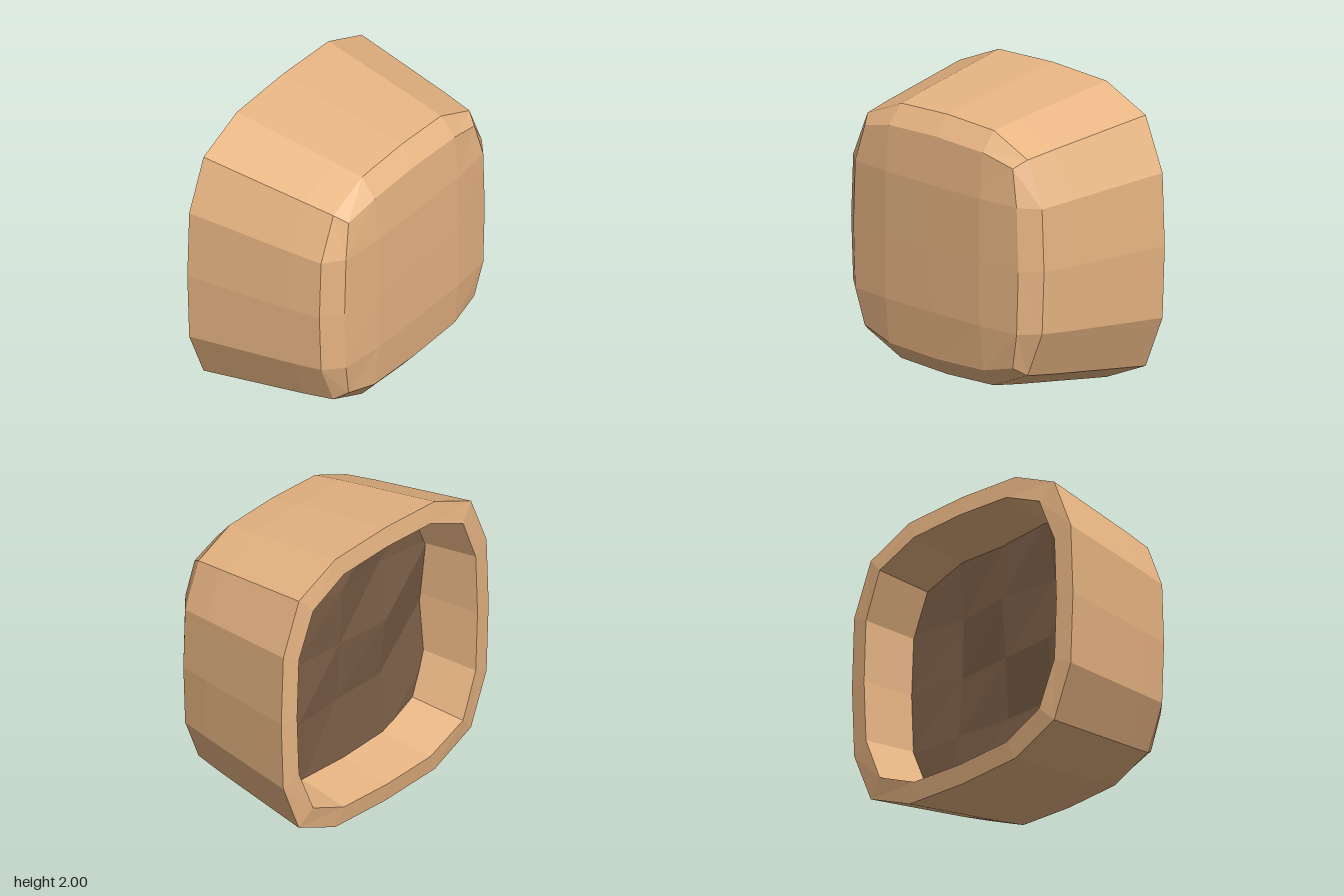
import * as THREE from 'three';

// Rounded-square outline, walked clockwise from the top as 16 cells of a 5 x 5 lattice
const WALK = [[0, 2], [1, 2], [2, 2], [2, 1], [2, 0], [2, -1], [2, -2], [1, -2],
  [0, -2], [-1, -2], [-2, -2], [-2, -1], [-2, 0], [-2, 1], [-2, 2], [-1, 2]];

// Half extents: side middle, side shoulder, corner, and the near-centre coordinate of a shoulder
const FULL = [1, 0.98, 0.83, 0.48];
const FACE = [0.735, 0.72, 0.66, 0.42];

function along(i, j, s) {
  const a = Math.abs(i), b = Math.abs(j);
  return Math.sign(i) * (a === 2 ? s[b] : a === 1 ? s[3] : 0);
}

// Lattice point in a slice; zAt gives the depth from the lattice position
function latticePoint(i, j, shape, scale, zAt) {
  return [along(i, j, shape) * scale, 1 + along(j, i, shape) * scale, zAt(i, j)];
}

const ring = (shape, scale, zAt) => WALK.map(([i, j]) => latticePoint(i, j, shape, scale, zAt));
const flat = (z) => () => z;

function quad(out, a, b, c, d) {
  out.push(...a, ...b, ...c, ...a, ...c, ...d);
}

// Strip of quads joining each ring to the next
function loft(rings) {
  const out = [];
  for (let k = 0; k < rings.length - 1; k++) {
    const A = rings[k], B = rings[k + 1];
    for (let i = 0; i < 16; i++) {
      const n = (i + 1) % 16;
      quad(out, A[i], A[n], B[n], B[i]);
    }
  }
  return out;
}

// 4 x 4 panel that fills a ring
function panel(shape, scale, zAt, facesFront) {
  const out = [];
  const p = (i, j) => latticePoint(i, j, shape, scale, zAt);
  for (let i = -2; i < 2; i++) {
    for (let j = -2; j < 2; j++) {
      const c = [p(i, j), p(i + 1, j), p(i + 1, j + 1), p(i, j + 1)];
      quad(out, ...(facesFront ? c : c.reverse()));
    }
  }
  return out;
}

export function createModel() {
  const group = new THREE.Group();
  group.name = 'filledPot';
  const shell = new THREE.MeshStandardMaterial({ color: 0xe8b583, flatShading: true });
  const soil = new THREE.MeshStandardMaterial({ color: 0x7a5d46, flatShading: true });

  const add = (name, material, positions) => {
    const geometry = new THREE.BufferGeometry();
    geometry.setAttribute('position', new THREE.Float32BufferAttribute(positions, 3));
    geometry.computeVertexNormals();
    const mesh = new THREE.Mesh(geometry, material);
    mesh.name = name;
    group.add(mesh);
  };

  // Gently domed front: lower towards its edges and corners
  const dome = (i, j) => {
    const a = Math.abs(i), b = Math.abs(j);
    if (a === 2 && b === 2) return 0.49;
    if (a === 2 || b === 2) return 0.515;
    return 0.55 - 0.003 * (a + b);
  };
  add('frontPanel', shell, panel(FACE, 1, dome, true));

  // Bevelled edge and side walls flaring towards the back
  const front = ring(FULL, 0.86, flat(0.41));
  const back = ring(FULL, 1, flat(-0.53));
  add('bevel', shell, loft([ring(FACE, 1, dome), front]));
  add('outerWall', shell, loft([front, ring(FULL, 0.895, flat(0.2)), back]));

  // Open back: rim, slightly raised at the corners
  const lip = ring(FULL, 0.87, (i, j) => (Math.abs(i * j) === 4 ? -0.557 : -0.55));
  add('rim', shell, loft([back, lip]));

  // Hollow inside, following the outer shell down to its own floor
  const innerDome = (i, j) => dome(i, j) - 0.13;
  add('innerWall', shell, loft([lip, ring(FULL, 0.755, flat(0.3)), ring(FACE, 0.88, innerDome)]));
  add('innerFloor', shell, panel(FACE, 0.88, innerDome, false));

  // Lumpy filling that reaches into the walls
  const lumpy = (i, j) => -0.15 + 0.035 * Math.sin(i * 2.3 + j * 4.1 + i * j);
  add('filling', soil, panel(FULL, 0.86, lumpy, false));

  return group;
}
